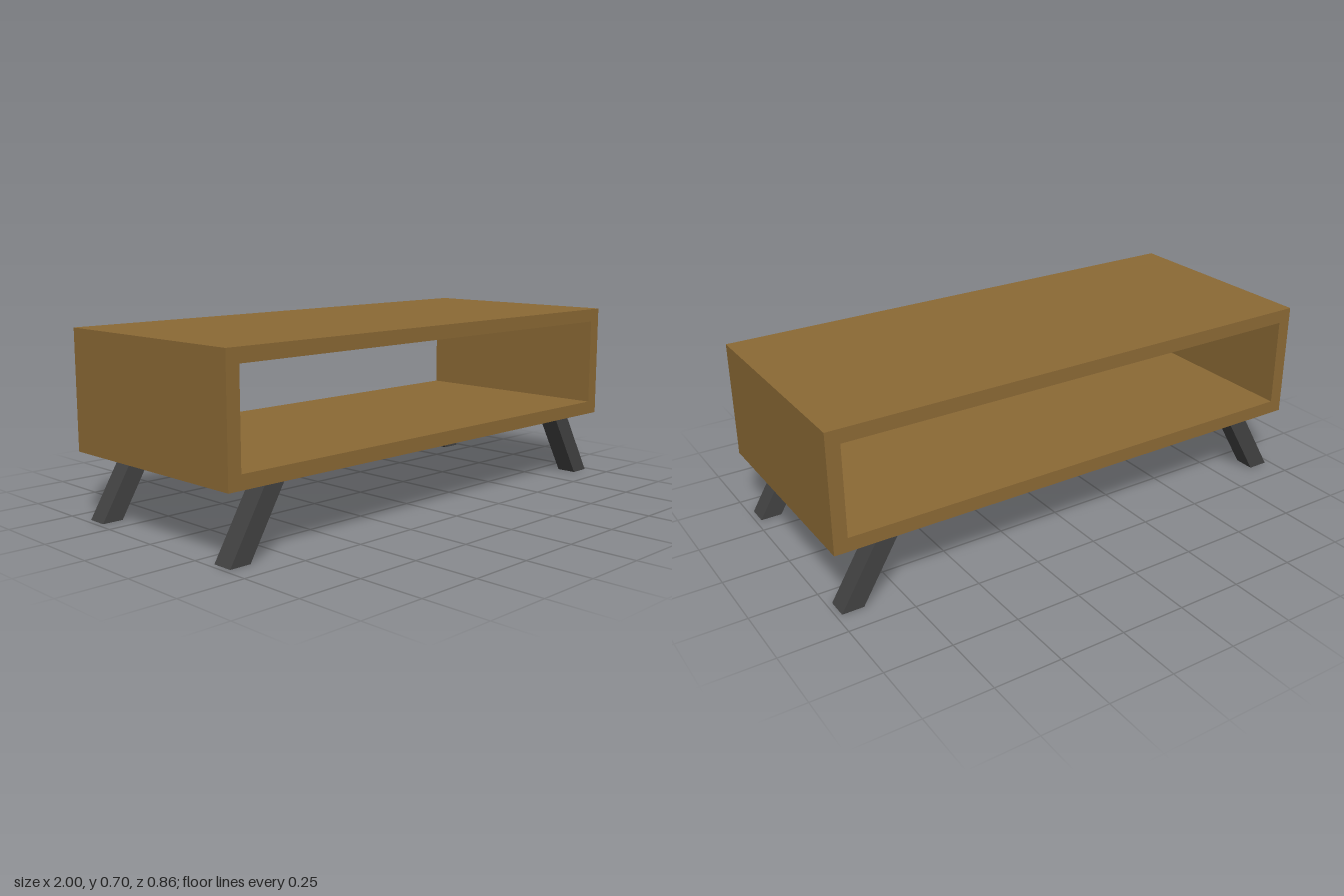
import * as THREE from 'three';

const BASE = 0.253, TOP = 0.70, HALF_DEPTH = 0.43, BOARD = 0.052;

export function createModel() {
  const model = new THREE.Group();
  model.name = 'coffeeTable';
  const wood = new THREE.MeshStandardMaterial({ color: 0x8b6935 });
  wood.name = 'warm wood';
  const dark = new THREE.MeshStandardMaterial({ color: 0x424242 });
  dark.name = 'dark grey';

  // Open box body: a rectangular frame running front to back
  const frame = new THREE.Shape([
    new THREE.Vector2(-1, BASE), new THREE.Vector2(1, BASE),
    new THREE.Vector2(1, TOP), new THREE.Vector2(-1, TOP),
  ]);
  const inner = 1 - BOARD;
  frame.holes.push(new THREE.Path([
    new THREE.Vector2(-inner, BASE + BOARD), new THREE.Vector2(-inner, TOP - BOARD),
    new THREE.Vector2(inner, TOP - BOARD), new THREE.Vector2(inner, BASE + BOARD),
  ]));
  const bodyGeometry = new THREE.ExtrudeGeometry(frame, { depth: 2 * HALF_DEPTH, bevelEnabled: false });
  bodyGeometry.translate(0, 0, -HALF_DEPTH);
  const body = new THREE.Mesh(bodyGeometry, wood);
  body.name = 'body';
  model.add(body);

  // Splayed legs: slanted parallelograms with level feet
  for (const side of [-1, 1]) {
    for (const end of [-1, 1]) {
      const outline = new THREE.Shape([
        new THREE.Vector2(side * 0.897, 0), new THREE.Vector2(side * 0.979, 0),
        new THREE.Vector2(side * 0.829, BASE), new THREE.Vector2(side * 0.747, BASE),
      ]);
      const geometry = new THREE.ExtrudeGeometry(outline, { depth: 0.08, bevelEnabled: false });
      geometry.translate(0, 0, end * 0.364 - 0.04);
      const leg = new THREE.Mesh(geometry, dark);
      leg.name = (end > 0 ? 'front' : 'back') + (side > 0 ? 'Left' : 'Right') + 'Leg';
      model.add(leg);
    }
  }
  return model;
}
